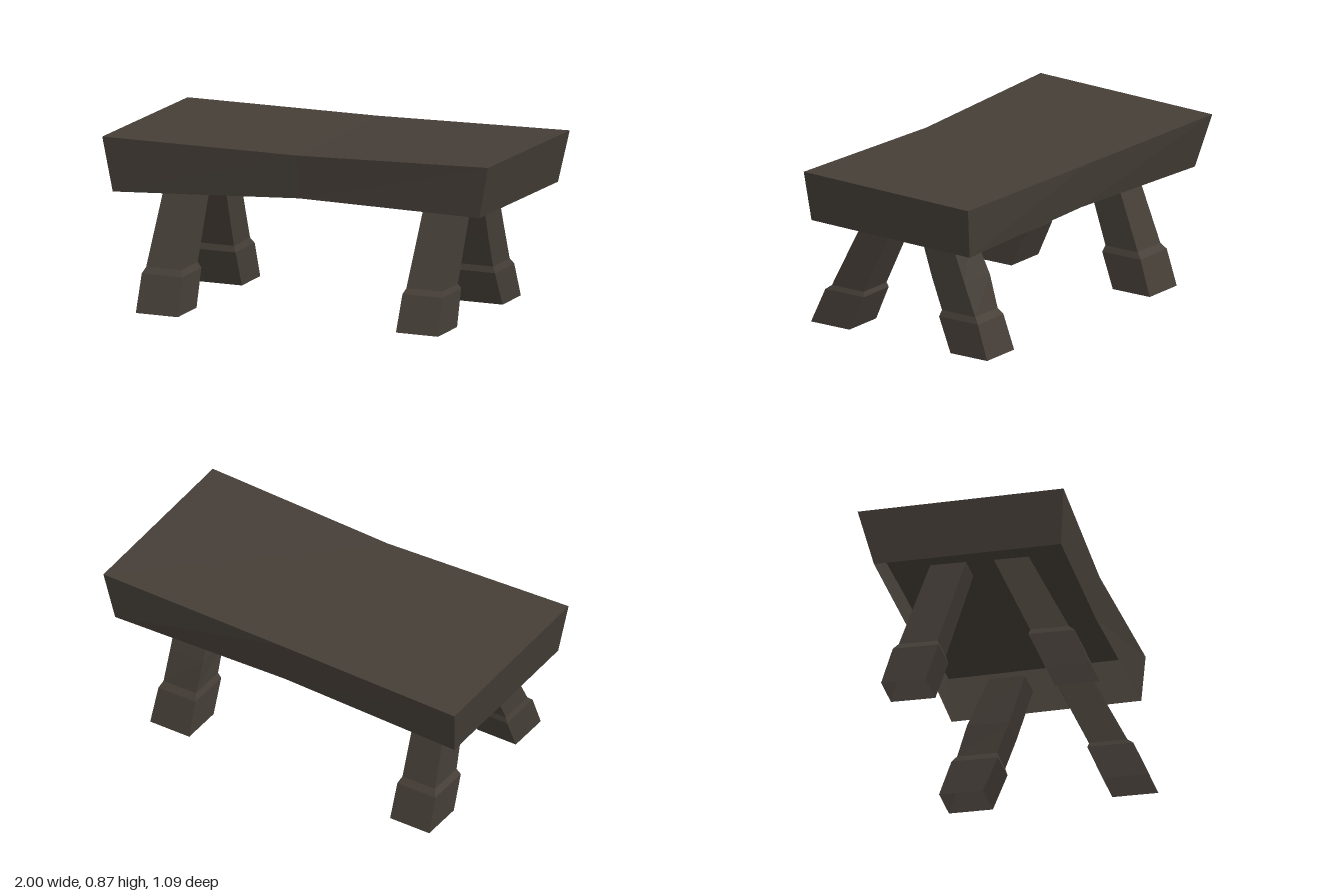
import * as THREE from 'three';

const wood = new THREE.MeshStandardMaterial({ color: 0x453e37, side: THREE.DoubleSide, flatShading: true });
wood.name = 'dark wood';

// Builds a flat-shaded mesh from four-cornered faces
function quadMesh(name, quads) {
  const pos = [];
  for (const [a, b, c, d] of quads) pos.push(...a, ...b, ...c, ...a, ...c, ...d);
  const geo = new THREE.BufferGeometry();
  geo.setAttribute('position', new THREE.Float32BufferAttribute(pos, 3));
  geo.computeVertexNormals();
  const mesh = new THREE.Mesh(geo, wood);
  mesh.name = name;
  return mesh;
}

// Sagging, uneven seat shell, open underneath
function makeSeat() {
  // Cross-sections along x: front bottom, front top, back top, back bottom
  const sections = [
    [[-0.955, 0.58, 0.44], [-1, 0.85, 0.462], [-1, 0.828, -0.545], [-0.955, 0.565, -0.475]],
    [[0, 0.628, 0.4], [0, 0.842, 0.42], [0, 0.835, -0.53], [0, 0.61, -0.49]],
    [[0.95, 0.624, 0.416], [1, 0.877, 0.426], [1, 0.856, -0.538], [0.95, 0.605, -0.512]],
  ];
  const quads = [];
  for (let s = 0; s < 2; s++) {
    const l = sections[s], r = sections[s + 1];
    for (let i = 0; i < 3; i++) quads.push([l[i], r[i], r[i + 1], l[i + 1]]);
  }
  const [left, , right] = sections;
  quads.push([...left].reverse(), right);
  return quadMesh('seat', quads);
}

// Splayed leg with a thicker foot; levels run top to bottom as [y, x0, x1, zFront, zBack, inner back corner shift]
function makeLeg(name, levels) {
  const rings = levels.map(([y, x0, x1, zf, zb, bump = 0]) =>
    [[x0, y, zf], [x1, y, zf], [x1, y, zb], [x0 - bump, y, zb - bump]]);
  const quads = [];
  for (let k = 0; k < rings.length - 1; k++) {
    const up = rings[k], low = rings[k + 1];
    for (let i = 0; i < 4; i++) {
      const j = (i + 1) % 4;
      quads.push([low[i], low[j], up[j], up[i]]);
    }
  }
  return quadMesh(name, quads);
}

export function createModel() {
  const bench = new THREE.Group();
  bench.name = 'bench';
  bench.add(
    makeSeat(),
    makeLeg('frontLeftLeg', [
      [0.63, 0.585, 0.755, 0.235, 0.06],
      [0.248, 0.575, 0.762, 0.43, 0.243],
      [0.225, 0.568, 0.775, 0.46, 0.235],
      [0.052, 0.567, 0.787, 0.535, 0.31],
    ]),
    makeLeg('frontRightLeg', [
      [0.62, -0.765, -0.6, 0.24, 0.07],
      [0.228, -0.78, -0.595, 0.44, 0.25],
      [0.2, -0.79, -0.578, 0.47, 0.245],
      [0.022, -0.788, -0.568, 0.545, 0.325],
    ]),
    makeLeg('backLeftLeg', [
      [0.63, 0.57, 0.75, -0.07, -0.245],
      [0.39, 0.567, 0.748, -0.147, -0.338, 0.012],
      [0.235, 0.563, 0.747, -0.205, -0.4],
      [0.205, 0.55, 0.76, -0.197, -0.425],
      [0.036, 0.546, 0.768, -0.27, -0.485],
    ]),
    makeLeg('backRightLeg', [
      [0.62, -0.77, -0.605, -0.065, -0.24],
      [0.21, -0.79, -0.605, -0.2, -0.39],
      [0.18, -0.808, -0.592, -0.19, -0.415],
      [0.005, -0.81, -0.588, -0.255, -0.472],
    ]),
  );
  return bench;
}
